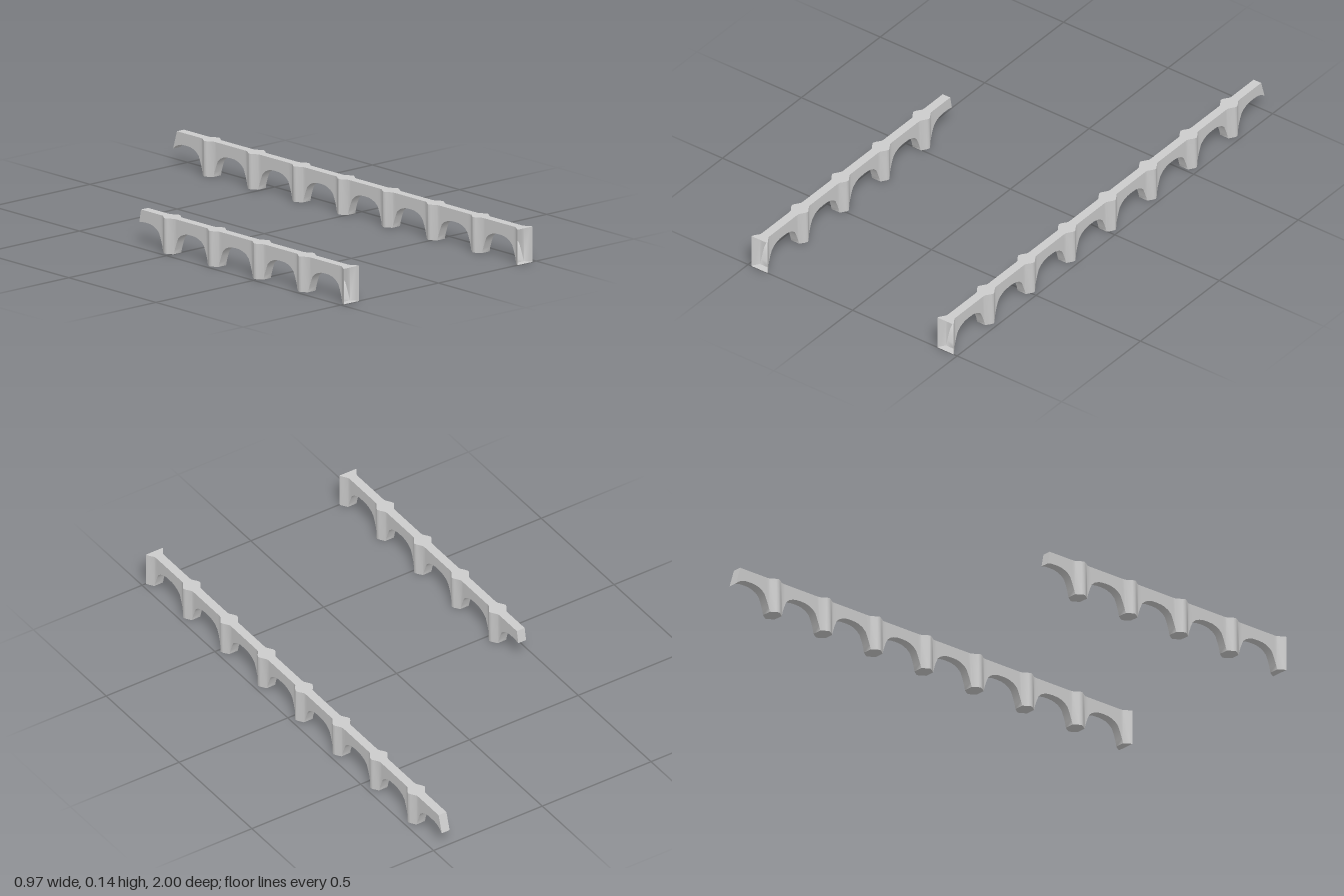
import * as THREE from 'three';
import { toCreasedNormals } from 'three/addons/utils/BufferGeometryUtils.js';

const PITCH = 0.2569, TOP = 0.14;

// Half bay: [distance from pier centre, half width, underside height]
const HALF_BAY = [
  [0, 0.0385, 0], [0.01, 0.034, 0], [0.03, 0.02, 0], [0.036, 0.0185, 0.02],
  [0.045, 0.018, 0.045], [0.055, 0.018, 0.067], [0.07, 0.018, 0.08],
  [0.088, 0.018, 0.088], [0.105, 0.018, 0.092], [PITCH / 2, 0.018, 0.093],
];
const BAY = [
  ...HALF_BAY,
  ...HALF_BAY.slice(0, -1).reverse().map(([d, w, b]) => [PITCH - d, w, b]),
];

// Hollow arcade running toward -z; endTrim drops stations from the last bay,
// endRake sets the upper edge back so the closing face slopes
function arcadeGeometry(startZ, bays, endTrim = 0, endRake = 0) {
  const stations = [];
  for (let i = 0; i < bays; i++) {
    BAY.forEach(([d, w, b], j) => {
      if (i === 0 || j > 0) stations.push([startZ - i * PITCH - d, w, b]);
    });
  }
  stations.length -= endTrim;
  const endZ = stations[stations.length - 1][0];

  // One four-cornered cross-section per station
  const positions = [], index = [];
  for (const [z, w, b] of stations) {
    const topZ = Math.max(z, endZ + endRake);
    positions.push(-w, b, z, w, b, z, w, TOP, topZ, -w, TOP, topZ);
  }
  for (let s = 0; s < stations.length - 1; s++) {
    for (let k = 0; k < 4; k++) {
      const a = s * 4 + k, b = s * 4 + (k + 1) % 4;
      index.push(a, a + 4, b, b, a + 4, b + 4);
    }
  }
  // Sloping end face
  if (endTrim) {
    const e = (stations.length - 1) * 4;
    index.push(e, e + 2, e + 1, e, e + 3, e + 2);
  }
  const geometry = new THREE.BufferGeometry();
  geometry.setAttribute('position', new THREE.Float32BufferAttribute(positions, 3));
  geometry.setIndex(index);
  return toCreasedNormals(geometry, 1.15);
}

export function createModel() {
  const model = new THREE.Group();
  model.name = 'arcades';
  const material = new THREE.MeshStandardMaterial({ color: 0xcccccc, side: THREE.DoubleSide });

  const addArcade = (name, x, geometry) => {
    const mesh = new THREE.Mesh(geometry, material);
    mesh.name = name;
    mesh.position.x = x;
    model.add(mesh);
  };

  // Long arcade in two lengths that meet at the middle pier
  addArcade('leftArcadeFront', 0.444, arcadeGeometry(1, 4));
  addArcade('leftArcadeBack', 0.444, arcadeGeometry(1 - 4 * PITCH, 4, 5, 0.022));

  // Short arcade, broken off past its fourth pier
  addArcade('rightArcade', -0.446, arcadeGeometry(1, 5, 7, 0.01));
  return model;
}
